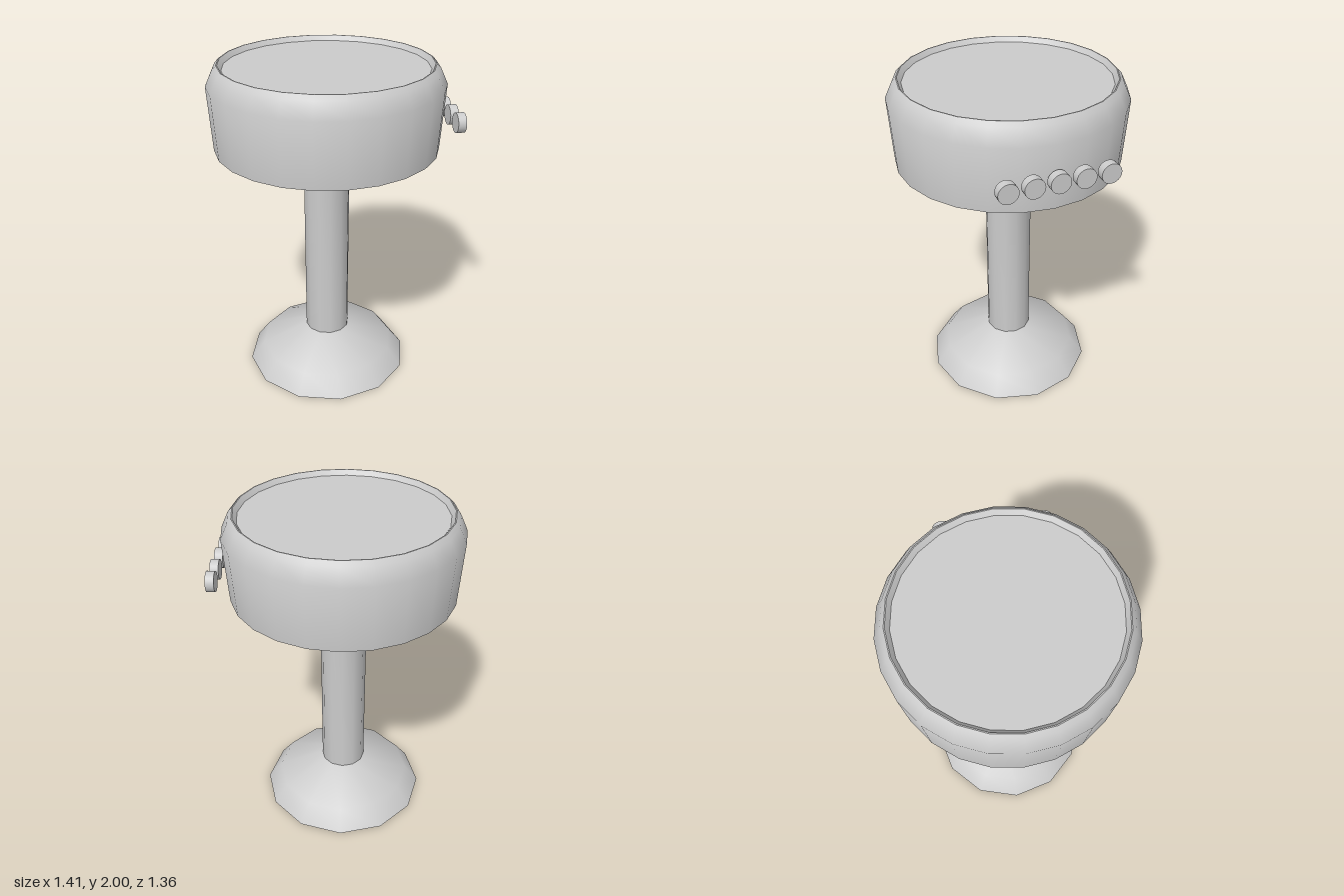
import * as THREE from 'three';
import { toCreasedNormals } from 'three/addons/utils/BufferGeometryUtils.js';

export function createModel() {
  const model = new THREE.Group();
  const material = new THREE.MeshStandardMaterial({ color: 0xcccccc });
  const axisX = -0.025;

  // Turned part from [radius, height] points, running bottom to top
  function turned(name, profile, sides) {
    const points = profile.map(([r, y]) => new THREE.Vector2(r, y));
    const geometry = toCreasedNormals(new THREE.LatheGeometry(points, sides), 0.7);
    const mesh = new THREE.Mesh(geometry, material);
    mesh.name = name;
    mesh.position.x = axisX;
    model.add(mesh);
  }

  // Flared foot, closed underneath
  turned('base', [[0, 0], [0.514, 0], [0.424, 0.12], [0.138, 0.237]], 12);

  // Column
  turned('column', [[0.138, 0.237], [0.138, 1.412]], 12);

  // Thin conical plate between column and drum
  turned('supportPlate', [[0.138, 1.412], [0.458, 1.458], [0, 1.506]], 12);

  // Drum with bevelled rim and a shallow recessed top
  turned('drum', [
    [0, 1.508], [0.656, 1.508], [0.678, 1.886], [0.636, 1.975],
    [0.612, 2], [0.606, 2], [0.585, 1.97], [0, 1.97],
  ], 24);

  // Row of round buttons on the left side
  const buttons = new THREE.Group();
  buttons.name = 'buttons';
  const buttonGeometry = new THREE.CylinderGeometry(0.057, 0.057, 0.048, 24).rotateZ(-Math.PI / 2);
  for (let i = -2; i <= 2; i++) {
    const button = new THREE.Mesh(buttonGeometry, material);
    button.name = 'button';
    button.position.set(0.679, 1.693, i * 0.14);
    buttons.add(button);
  }
  model.add(buttons);

  return model;
}
